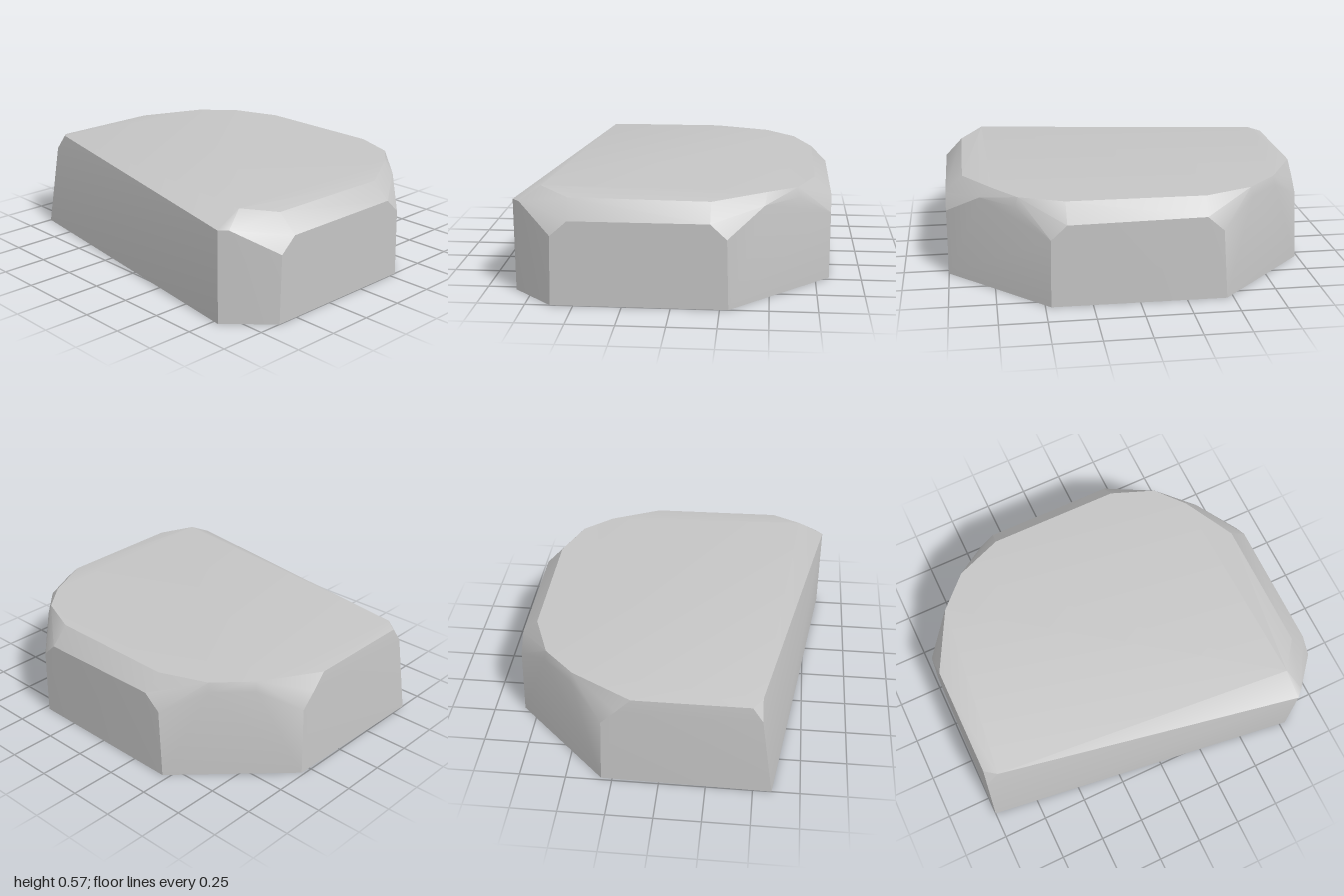
import * as THREE from 'three';
import { toCreasedNormals } from 'three/addons/utils/BufferGeometryUtils.js';
import { ConvexGeometry } from 'three/addons/geometries/ConvexGeometry.js';

// Corners of the ground outline: x, z
const base = [
  [-0.6, -1], [0.31, -0.985], [0.83, -0.465], [0.825, 0.47],
  [0.295, 1], [-0.62, 1], [-0.84, 0.785],
];

// Clipped upper corners of each wall: x, y, z
const walls = [
  [-0.61, 0.37, 1], [-0.52, 0.45, 1], [0.2, 0.45, 1], [0.285, 0.37, 1],             // front
  [0.47, 0.5, 0.815], [0.65, 0.5, 0.635],                                           // front left
  [0.825, 0.37, 0.465], [0.828, 0.45, 0.38], [0.828, 0.46, -0.35], [0.825, 0.38, -0.44], // left
  [0.65, 0.5, -0.63], [0.48, 0.5, -0.8],                                            // back left
  [0.3, 0.38, -0.97], [0.22, 0.46, -0.97], [-0.535, 0.46, -0.975],                  // back
  [-0.84, 0.5, 0.785], [-0.8, 0.5, 0.825],                                          // front right
];

// Rim of the gently sloping top: x, y, z
const rim = [
  [-0.69, 0.575, 0.78], [-0.53, 0.548, 0.905], [0.2, 0.54, 0.905],
  [0.48, 0.555, 0.75], [0.64, 0.55, 0.62], [0.735, 0.548, 0.38],
  [0.74, 0.548, -0.36], [0.64, 0.55, -0.62], [0.47, 0.552, -0.79],
  [0.14, 0.54, -0.965], [-0.48, 0.54, -0.965], [-0.53, 0.552, -0.9],
];

export function createModel() {
  const stone = new THREE.MeshStandardMaterial({ color: 0xc5c5c5 });
  stone.name = 'light grey stone';

  // Faceted slab with crisp walls and softened bevels
  const points = [...base.map(([x, z]) => [x, 0, z]), ...walls, ...rim]
    .map((p) => new THREE.Vector3(...p));
  const slab = new THREE.Mesh(toCreasedNormals(new ConvexGeometry(points), 0.5), stone);
  slab.name = 'rock slab';

  const model = new THREE.Group();
  model.name = 'flat rock';
  model.add(slab);
  return model;
}
